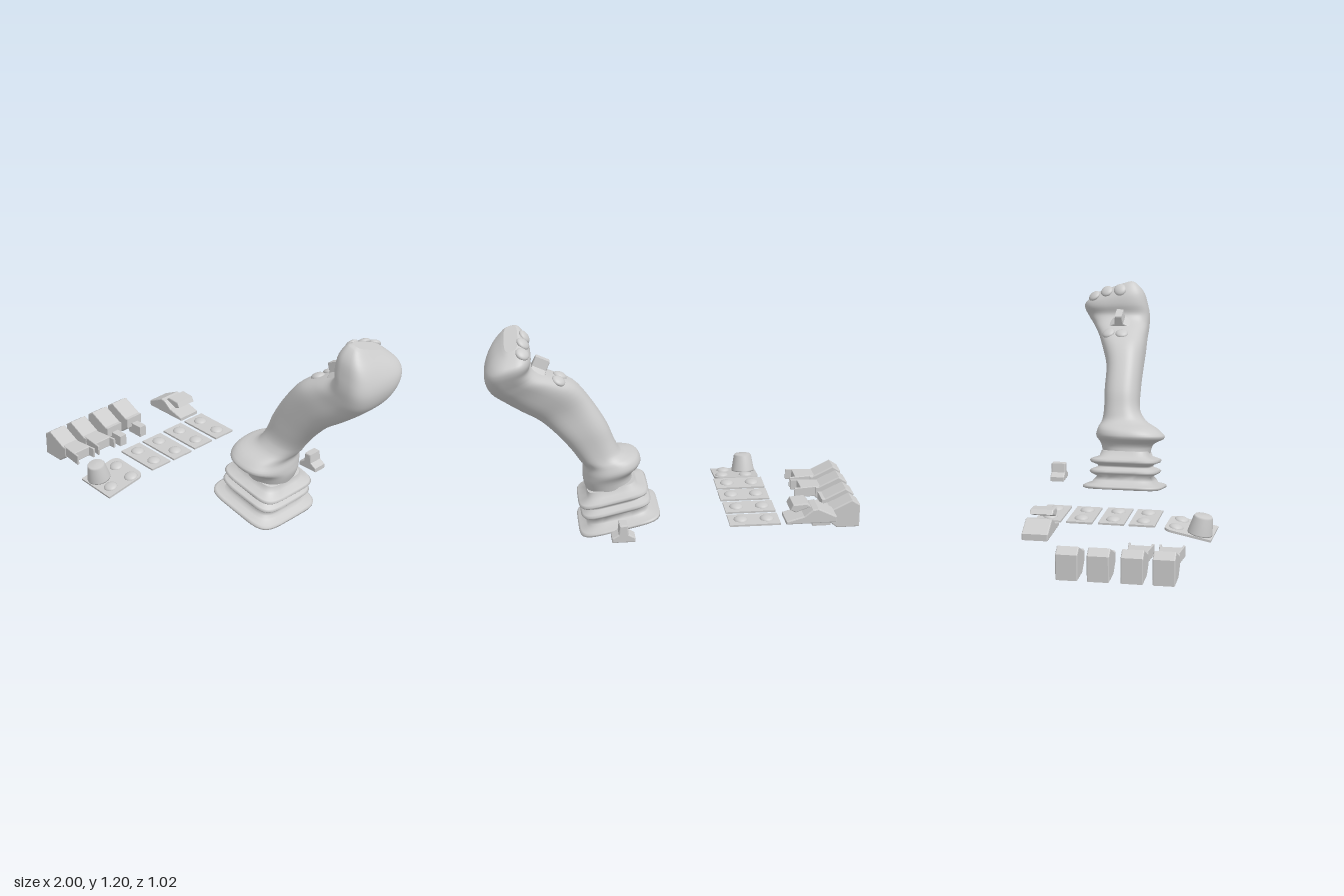
import * as THREE from 'three';

const mat = new THREE.MeshStandardMaterial({ color: 0xcccccc });
const UP = new THREE.Vector3(0, 1, 0);

function add(parent, name, geo, x = 0, y = 0, z = 0) {
  const m = new THREE.Mesh(geo, mat);
  m.name = name;
  m.position.set(x, y, z);
  parent.add(m);
  return m;
}

// Skin over rings of points running upward, closed at both ends
function loft(rings) {
  const n = rings[0].length, pos = [], idx = [];
  rings.forEach(r => r.forEach(p => pos.push(p.x, p.y, p.z)));
  for (let i = 0; i < rings.length - 1; i++) for (let j = 0; j < n; j++) {
    const a = i * n + j, b = i * n + (j + 1) % n;
    idx.push(a, a + n, b, b, a + n, b + n);
  }
  [[rings[0], false], [rings[rings.length - 1], true]].forEach(([r, top]) => {
    const c = new THREE.Vector3();
    r.forEach(p => c.addScaledVector(p, 1 / n));
    const base = pos.length / 3;
    pos.push(c.x, c.y, c.z);
    r.forEach(p => pos.push(p.x, p.y, p.z));
    for (let j = 0; j < n; j++) {
      const a = base + 1 + j, b = base + 1 + (j + 1) % n;
      top ? idx.push(base, b, a) : idx.push(base, a, b);
    }
  });
  const g = new THREE.BufferGeometry();
  g.setAttribute('position', new THREE.Float32BufferAttribute(pos, 3));
  g.setIndex(idx);
  g.computeVertexNormals();
  return g;
}

const power = (v, n) => Math.sign(v) * Math.abs(v) ** (2 / n);

// Rounded section spanning l to r (in xy) and l.z to r.z, with a slope along z
function section(l, r, n, slope = 0, count = 56) {
  const ring = [];
  for (let j = 0; j < count; j++) {
    const a = (j / count) * Math.PI * 2;
    const u = power(Math.cos(a), n) / 2, w = power(Math.sin(a), n) / 2;
    const dz = w * Math.abs(l.z - r.z);
    ring.push(new THREE.Vector3((l.x + r.x) / 2 + u * (r.x - l.x),
      (l.y + r.y) / 2 + u * (r.y - l.y) + slope * dz, (l.z + r.z) / 2 + dz));
  }
  return ring;
}

// Side profile extruded along z, centred, with a small bevel
function prism(points, depth, bevel = 0.006) {
  const shape = new THREE.Shape(points.map(p => new THREE.Vector2(...p)));
  const g = new THREE.ExtrudeGeometry(shape, {
    depth: depth - 2 * bevel, bevelThickness: bevel, bevelSize: bevel, bevelOffset: -bevel, bevelSegments: 2
  });
  return g.translate(0, 0, bevel - depth / 2);
}

const dome = r => new THREE.SphereGeometry(r, 24, 14).scale(1, 0.5, 1);

function rockerGeometry() {
  return prism([[-0.06, 0], [0.06, 0], [0.06, 0.025], [0.026, 0.045], [0.02, 0.095],
    [-0.02, 0.095], [-0.026, 0.045], [-0.06, 0.025]], 0.08);
}

function makeBoot() {
  // half width, height
  const profile = [[0.21, -0.012], [0.222, -0.007], [0.222, 0.004], [0.212, 0.01], [0.178, 0.018],
    [0.168, 0.035], [0.15, 0.055], [0.184, 0.074], [0.191, 0.085], [0.182, 0.095], [0.147, 0.108],
    [0.147, 0.118], [0.184, 0.134], [0.191, 0.145], [0.182, 0.155], [0.142, 0.168], [0.13, 0.2]];
  return loft(profile.map(([h, y]) =>
    section(new THREE.Vector3(-h, y, h), new THREE.Vector3(h, y, -h), 5)));
}

function makeGrip() {
  // left x, y, right x, y, front z, back z, slope along z
  const s = [
    [0.23, 0.30, 0.48, 0.265, 0.04, -0.22, 0],
    [0.24, 0.37, 0.50, 0.33, 0.06, -0.235, 0],
    [0.19, 0.43, 0.50, 0.375, 0.13, -0.258, 0],
    [0.21, 0.47, 0.495, 0.42, 0.09, -0.25, 0],
    [0.295, 0.50, 0.52, 0.46, 0.01, -0.235, 0],
    [0.33, 0.56, 0.55, 0.51, -0.028, -0.23, 0],
    [0.37, 0.66, 0.62, 0.60, -0.035, -0.235, 0],
    [0.455, 0.80, 0.72, 0.70, -0.035, -0.24, 0],
    [0.54, 0.905, 0.82, 0.77, -0.035, -0.28, 0],
    [0.64, 0.955, 0.91, 0.84, -0.04, -0.32, 0],
    [0.735, 0.995, 0.97, 0.90, -0.04, -0.365, 0],
    [0.765, 1.03, 0.995, 0.97, -0.04, -0.40, 0.03],
    [0.757, 1.08, 0.99, 1.03, -0.05, -0.42, 0.08],
    [0.767, 1.13, 0.96, 1.09, -0.07, -0.415, 0.2],
    [0.80, 1.175, 0.91, 1.145, -0.115, -0.37, 0.33],
    [0.82, 1.185, 0.89, 1.165, -0.14, -0.34, 0.36]];
  const left = new THREE.CatmullRomCurve3(s.map(p => new THREE.Vector3(p[0], p[1], p[4])));
  const right = new THREE.CatmullRomCurve3(s.map(p => new THREE.Vector3(p[2], p[3], p[5])));
  const rings = [], last = s.length - 1;
  for (let i = 0; i <= last * 4; i++) {
    const t = i / (last * 4), k = Math.min(Math.floor(i / 4), last - 1);
    const slope = THREE.MathUtils.lerp(s[k][6], s[k + 1][6], i / 4 - k);
    rings.push(section(left.getPoint(t), right.getPoint(t), 2.2 + 1.1 * t, slope));
  }
  return loft(rings);
}

function makeJoystick() {
  const g = new THREE.Group();
  g.name = 'joystick';
  add(g, 'bellowsBoot', makeBoot(), 0.315, 0.12, -0.09).rotation.z = -0.21;
  const grip = add(g, 'grip', makeGrip());
  // thumb buttons seated on the grip surface
  const down = new THREE.Vector3(0, -1, 0);
  [[0.8, -0.355], [0.795, -0.28], [0.785, -0.2], [0.62, -0.24], [0.61, -0.16]].forEach(([x, z]) => {
    const hit = new THREE.Raycaster(new THREE.Vector3(x, 3, z), down).intersectObject(grip)[0];
    if (!hit) return;
    const b = add(g, 'thumbButton', dome(0.037), hit.point.x, hit.point.y, hit.point.z);
    b.quaternion.setFromUnitVectors(UP, hit.face.normal);
  });
  // thumb rocker in the notch under the head
  const rocker = add(g, 'thumbRocker', rockerGeometry(), 0.735, 0.963, -0.19);
  rocker.quaternion.setFromUnitVectors(UP, new THREE.Vector3(-0.42, 0.91, 0).normalize());
  rocker.rotateY(Math.PI / 2);
  return g;
}

function makeToggle(forked) {
  const g = new THREE.Group();
  g.name = forked ? 'forkedToggle' : 'stemToggle';
  add(g, 'toggleBody', prism([[-1, 0.015], [-0.875, 0.015], [-0.82, 0.06], [-0.82, 0.12],
    [-0.84, 0.12], [-0.955, 0.175], [-1, 0.145]], 0.11));
  if (!forked) {
    add(g, 'toggleStem', new THREE.BoxGeometry(0.1, 0.065, 0.045), -0.795, 0.05, 0);
    return g;
  }
  // flared lever ending in two prongs, drawn in plan
  const plan = [[-0.87, -0.045], [-0.7, -0.065], [-0.7, -0.053], [-0.735, -0.05], [-0.735, 0.05],
    [-0.7, 0.053], [-0.7, 0.065], [-0.87, 0.045]];
  add(g, 'toggleFork', prism(plan, 0.06, 0.004).rotateX(-Math.PI / 2), 0, 0.094, 0);
  return g;
}

function makeButtonPlate() {
  const g = new THREE.Group();
  g.name = 'buttonPlate';
  add(g, 'plate', new THREE.BoxGeometry(0.27, 0.01, 0.135));
  [-0.07, 0.07].forEach(x => add(g, 'button', dome(0.038), x, 0.003, 0));
  return g;
}

function makeKnobPlate() {
  const g = new THREE.Group();
  g.name = 'knobPlate';
  const w = 0.125, r = 0.05;
  const s = new THREE.Shape();
  s.moveTo(-w, -w);
  s.lineTo(w, -w);
  s.lineTo(w, w - r);
  s.quadraticCurveTo(w, w, w - r, w);
  s.lineTo(-w + r, w);
  s.quadraticCurveTo(-w, w, -w, w - r);
  const plate = new THREE.ExtrudeGeometry(s, { depth: 0.012, bevelEnabled: false, curveSegments: 8 });
  add(g, 'plate', plate.rotateX(-Math.PI / 2));
  [[-0.055, -0.07], [0.08, -0.065], [0.06, 0.063]].forEach(([x, z]) =>
    add(g, 'button', dome(0.038), x, 0.01, z));
  const knob = [[0, 0], [0.065, 0], [0.065, 0.006], [0.05, 0.088], [0.044, 0.097], [0, 0.099]];
  add(g, 'knob', new THREE.LatheGeometry(knob.map(p => new THREE.Vector2(...p)), 32), -0.055, 0.012, 0.055);
  return g;
}

export function createModel() {
  const model = new THREE.Group();
  model.name = 'joystickWithControls';
  model.add(makeJoystick());

  // loose rocker behind the joystick
  add(model, 'looseRocker', rockerGeometry(), 0.32, 0.14, -0.475);

  // row of toggles
  [-0.155, 0.0, 0.165, 0.32].forEach((z, i) => {
    const t = makeToggle(i > 1);
    t.position.z = z;
    model.add(t);
  });

  // row of two-button plates
  [-0.35, -0.185, -0.02, 0.14].forEach((z, i) => {
    const p = makeButtonPlate();
    p.position.set(-0.385 - (i % 2) * 0.003, 0.155, z);
    p.rotation.y = -0.02;
    model.add(p);
  });

  // tilted plate with knob
  const knobPlate = makeKnobPlate();
  knobPlate.position.set(-0.4, 0.11, 0.375);
  knobPlate.rotation.set(0.19, -0.05, 0);
  model.add(knobPlate);

  // sloped slider base and its thumb piece
  add(model, 'sliderBase', prism([[-0.82, 0.147], [-0.55, 0.147], [-0.55, 0.165], [-0.645, 0.19],
    [-0.69, 0.225], [-0.72, 0.23], [-0.82, 0.18]], 0.135), 0, 0, -0.352);
  add(model, 'sliderThumbPiece', prism([[-0.68, 0.24], [-0.6, 0.21], [-0.57, 0.225], [-0.585, 0.255],
    [-0.66, 0.26]], 0.12), 0, 0, -0.35);

  return model;
}
